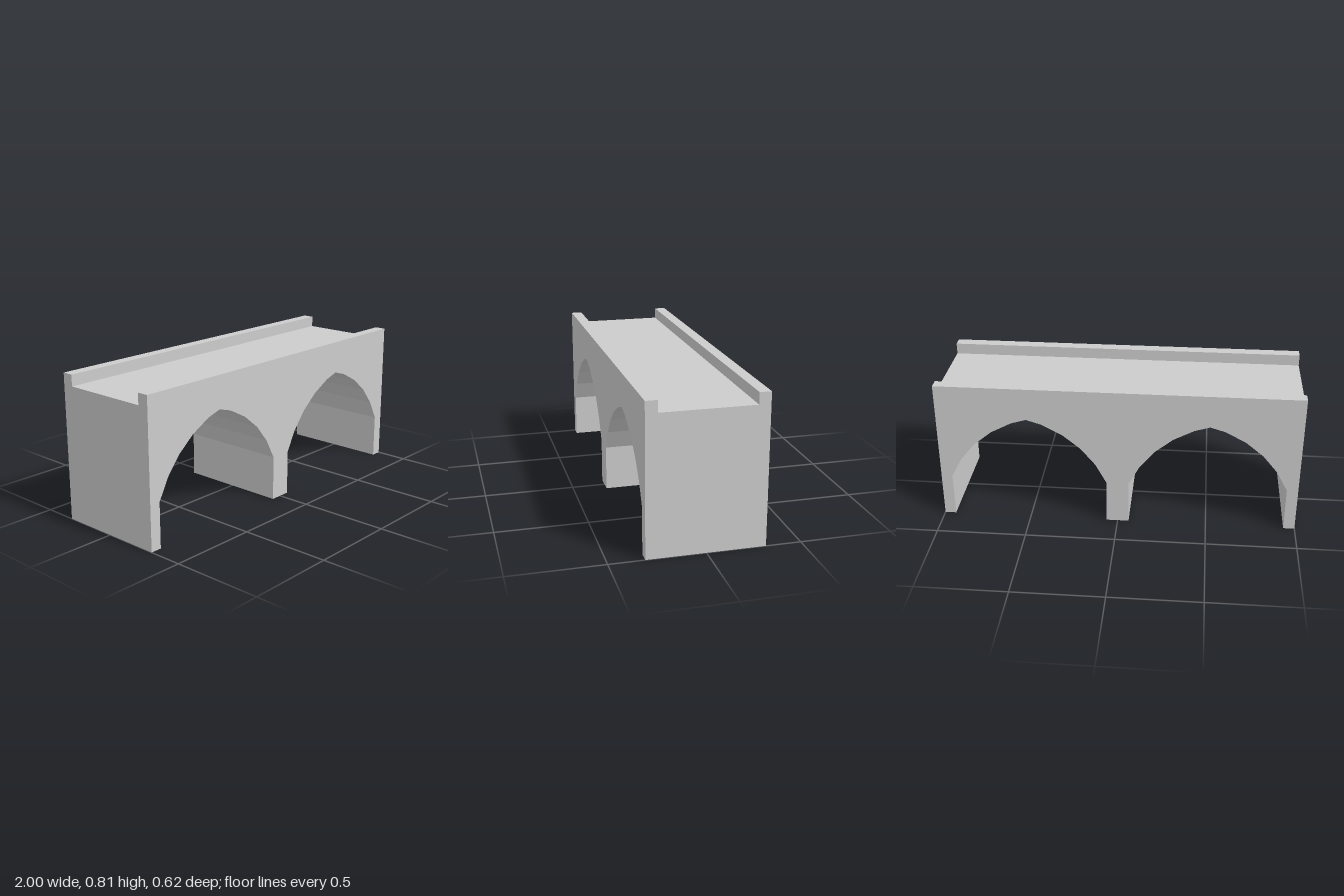
import * as THREE from 'three';

const LENGTH = 2, DEPTH = 0.625, HEIGHT = 0.8125, DECK = 0.75;
const PARAPET = 0.0625, SPRING = 0.25, HALF_SPAN = 0.4375;

const material = new THREE.MeshStandardMaterial({
  color: 0xcccccc, flatShading: true, side: THREE.DoubleSide,
});

function addMesh(parent, name, geometry) {
  const mesh = new THREE.Mesh(geometry, material);
  mesh.name = name;
  parent.add(mesh);
  return mesh;
}

// Open strip: a polyline in x/y drawn out along z, outer side to the right of travel
function strip(points, depth) {
  const h = depth / 2, pos = [];
  for (let i = 0; i + 1 < points.length; i++) {
    const [ax, ay] = points[i], [bx, by] = points[i + 1];
    pos.push(ax, ay, h, ax, ay, -h, bx, by, -h, ax, ay, h, bx, by, -h, bx, by, h);
  }
  const geometry = new THREE.BufferGeometry();
  geometry.setAttribute('position', new THREE.Float32BufferAttribute(pos, 3));
  geometry.computeVertexNormals();
  return geometry;
}

// The same flat outline on both sides, facing outward
function addPair(parent, names, points, distance) {
  const shape = new THREE.Shape(points.map(([x, y]) => new THREE.Vector2(x, y)));
  names.forEach((name, i) => {
    const mesh = addMesh(parent, name, new THREE.ShapeGeometry(shape));
    mesh.position.z = i ? -distance : distance;
    mesh.rotation.y = i ? Math.PI : 0;
  });
}

// Pointed arch: two faceted arcs meeting at the crown, on straight jambs
function archPoints(cx) {
  const step = Math.PI / 16, radius = SPRING / Math.sin(2 * step);
  const offset = radius * Math.cos(2 * step) - HALF_SPAN;
  const half = [[-HALF_SPAN, 0]];
  for (let i = 2; i <= 6; i++) {
    half.push([offset - radius * Math.cos(i * step), radius * Math.sin(i * step)]);
  }
  // Cut the next facet at the centre line of the arch
  const [x0, y0] = half[half.length - 1];
  const x1 = offset - radius * Math.cos(7 * step), y1 = radius * Math.sin(7 * step);
  const crown = [0, y0 + (y1 - y0) * (-x0 / (x1 - x0))];
  const mirrored = half.map(([x, y]) => [-x, y]).reverse();
  return [...half, crown, ...mirrored].map(([x, y]) => [x + cx, y]);
}

export function createModel() {
  const bridge = new THREE.Group();
  bridge.name = 'archBridge';
  const hx = LENGTH / 2, hz = DEPTH / 2;

  // Arch linings; the piers are hollow and open underneath
  const rightArch = archPoints(-0.5), leftArch = archPoints(0.5);
  addMesh(bridge, 'rightArchLining', strip(rightArch, DEPTH));
  addMesh(bridge, 'leftArchLining', strip(leftArch, DEPTH));

  // Front and back walls with the arch openings
  const wall = [[-hx, 0], ...rightArch, ...leftArch, [hx, 0], [hx, HEIGHT], [-hx, HEIGHT]];
  addPair(bridge, ['frontWall', 'backWall'], wall, hz);

  // Deck with parapets, and end walls following the same profile
  const across = new THREE.Group();
  across.name = 'deckAndEnds';
  across.rotation.y = Math.PI / 2;
  bridge.add(across);
  const inner = hz - PARAPET;
  const top = [[hz, HEIGHT], [inner, HEIGHT], [inner, DECK],
    [-inner, DECK], [-inner, HEIGHT], [-hz, HEIGHT]];
  addMesh(across, 'deckAndParapets', strip(top, LENGTH));
  addPair(across, ['leftEndWall', 'rightEndWall'], [[-hz, 0], [hz, 0], ...top], hx);

  return bridge;
}
